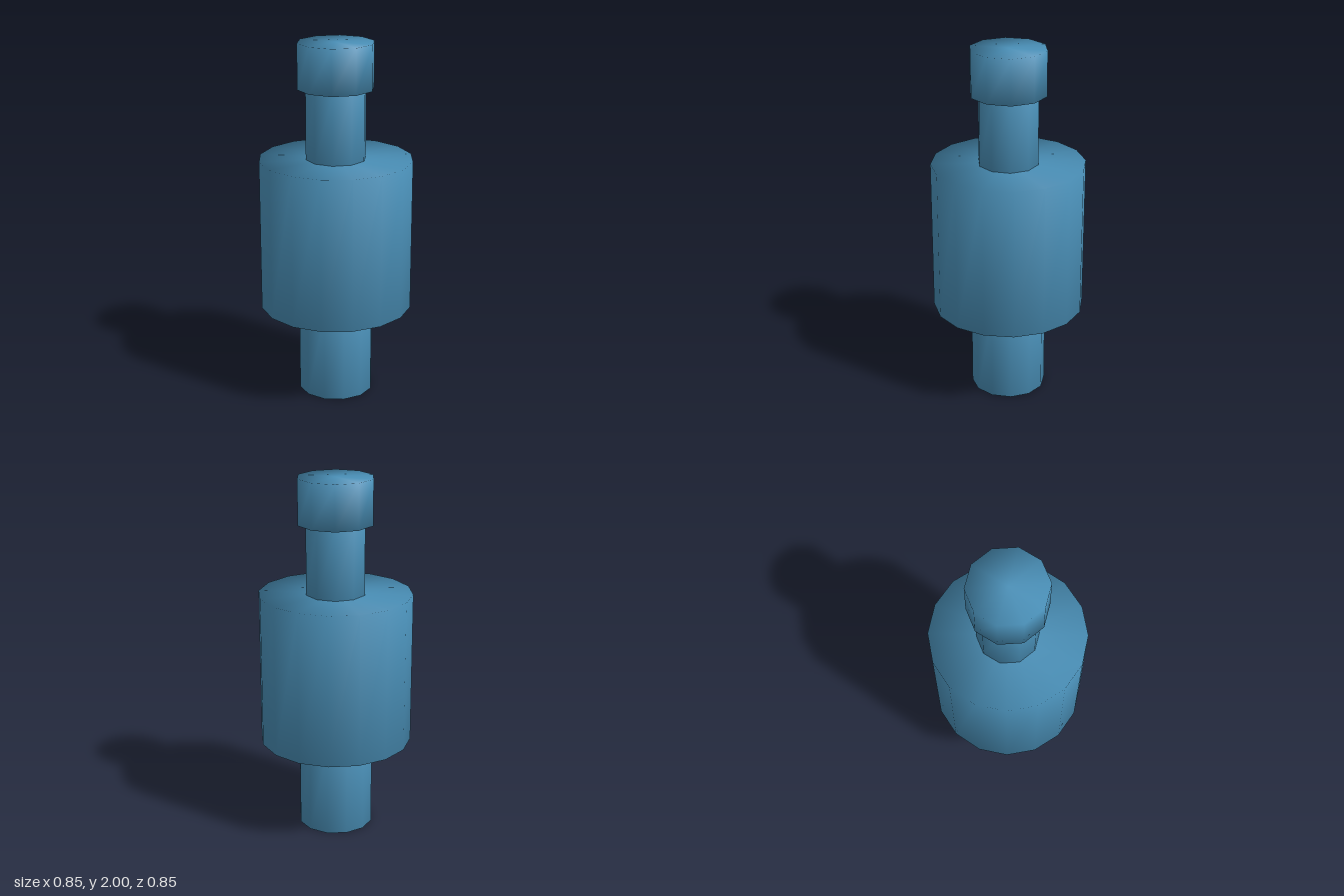
import * as THREE from 'three';
import { mergeVertices } from 'three/addons/utils/BufferGeometryUtils.js';

const material = new THREE.MeshStandardMaterial({ color: 0x4a90b8 });

// Closed prism between two heights, corners on the x axis,
// with normals shared across sides and caps for soft shading.
function section(name, radius, bottom, top, sides) {
  let geometry = new THREE.CylinderGeometry(radius, radius, top - bottom, sides, 1, false, Math.PI / 2);
  geometry.deleteAttribute('normal');
  geometry.deleteAttribute('uv');
  geometry = mergeVertices(geometry, 1e-4);
  geometry.computeVertexNormals();
  const mesh = new THREE.Mesh(geometry, material);
  mesh.name = name;
  mesh.position.y = (bottom + top) / 2;
  return mesh;
}

export function createModel() {
  const group = new THREE.Group();
  group.name = 'steppedSpindle';
  group.add(
    section('lowerShaft', 0.21, 0, 0.513, 12),
    section('body', 0.424, 0.513, 1.363, 16),
    section('neck', 0.167, 1.363, 1.75, 10),
    section('head', 0.211, 1.75, 2, 10)
  );
  return group;
}
